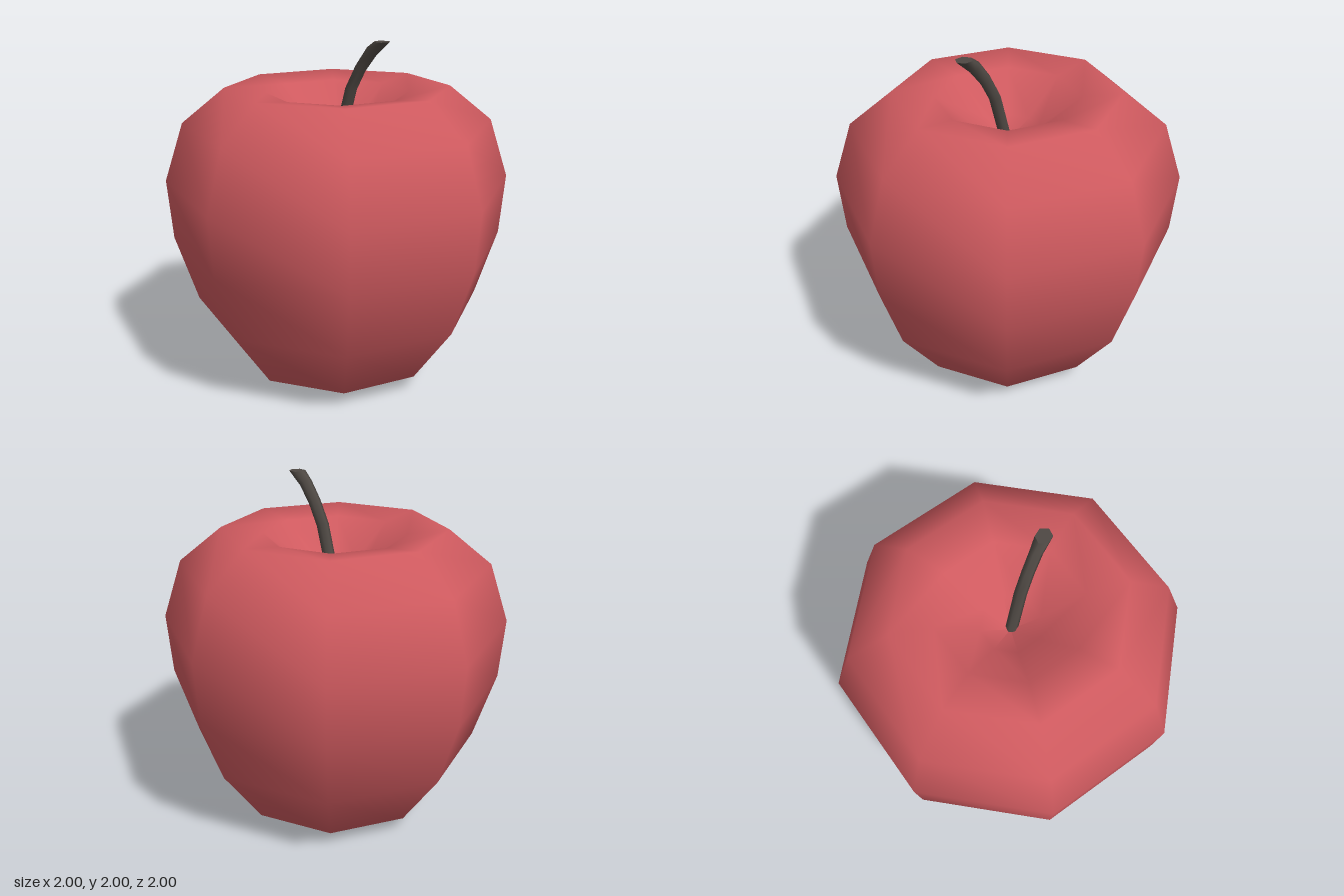
import * as THREE from 'three';
import { mergeVertices } from 'three/addons/utils/BufferGeometryUtils.js';

const skinRed = new THREE.MeshStandardMaterial({ color: 0xcf5a5f });
skinRed.name = 'skinRed';
const stemBrown = new THREE.MeshStandardMaterial({ color: 0x4e4843 });
stemBrown.name = 'stemBrown';

// Eight-sided fruit with a dimple at the base and around the stem
function createBody() {
  const profile = [
    [0, 0.2], [0.14, 0.16], [0.33, 0.04], [0.415, 0],
    [0.59, 0.09], [0.84, 0.44], [0.97, 0.83], [1, 1.18],
    [0.89, 1.52], [0.645, 1.72], [0.41, 1.69], [0.17, 1.5], [0, 1.42],
  ].map(([r, y]) => new THREE.Vector2(r, y));
  const body = new THREE.Mesh(new THREE.LatheGeometry(profile, 8), skinRed);
  body.name = 'fruitBody';
  return body;
}

// Six-sided stem: a cylinder whose rings follow a bend and flare at the tip
function createStem() {
  // x, y, radius across x, radius across z, tilt
  const rings = [
    [0, 1.38, 0.036, 0.035, -0.3],
    [0.1, 1.72, 0.036, 0.035, -0.4],
    [0.17, 1.845, 0.036, 0.035, -0.52],
    [0.245, 1.94, 0.038, 0.036, -0.6],
    [0.318, 2.0, 0.05, 0.046, 0],
  ];
  const last = rings.length - 1;
  const geometry = new THREE.CylinderGeometry(1, 1, last, 6, last, false, Math.PI / 2);
  const position = geometry.attributes.position;
  for (let i = 0; i < position.count; i++) {
    const [x, y, rx, rz, tilt] = rings[Math.round(position.getY(i) + last / 2)];
    const across = position.getX(i) * rx;
    position.setXYZ(i, x + across * Math.cos(tilt), y + across * Math.sin(tilt), position.getZ(i) * rz);
  }
  // Weld the seam; the caps stay separate and keep a sharp edge
  geometry.deleteAttribute('uv');
  const welded = mergeVertices(geometry);
  welded.computeVertexNormals();
  const stem = new THREE.Mesh(welded, stemBrown);
  stem.name = 'stem';
  return stem;
}

export function createModel() {
  const model = new THREE.Group();
  model.name = 'apple';
  model.add(createBody(), createStem());
  return model;
}
